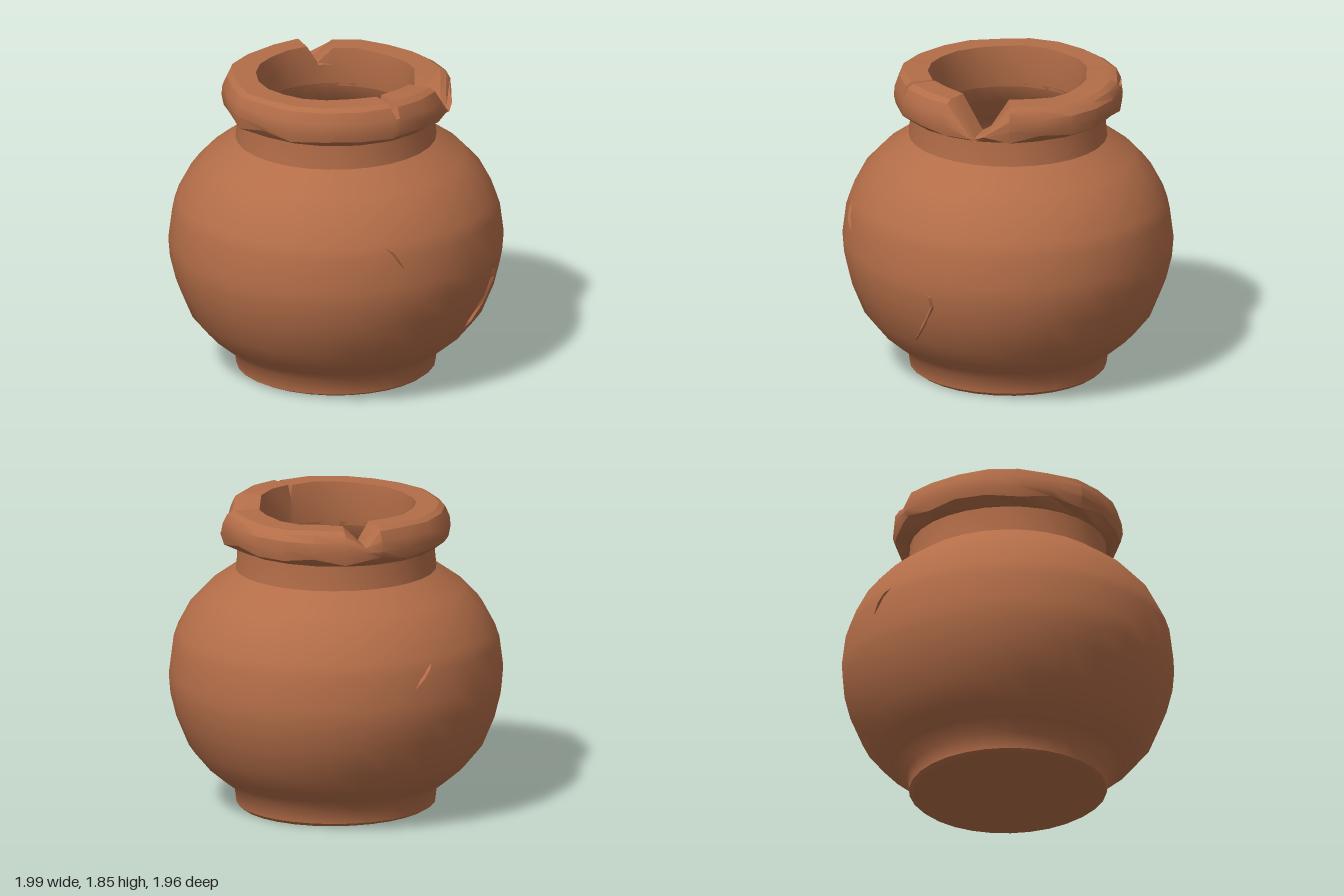
import * as THREE from 'three';
import { toCreasedNormals } from 'three/addons/utils/BufferGeometryUtils.js';

const DEG = Math.PI / 180;
const SIDES = 30;

// Outer belly profile, [radius, height] from the foot to the shoulder
const BELLY = [[0.595, 0.025], [0.607, 0.12], [0.69, 0.185], [0.78, 0.26], [0.88, 0.38], [0.955, 0.56],
  [0.99, 0.7], [1, 0.82], [0.977, 1], [0.95, 1.08], [0.875, 1.22], [0.77, 1.33], [0.6, 1.45]];

// Height of the broken lip at each angle (degrees from the front towards +x)
const LIP = [[0, 1.78], [2, 1.85], [18, 1.85], [34, 1.84], [50, 1.63], [56, 1.66], [69, 1.83], [85, 1.825],
  [102, 1.815], [118, 1.815], [134, 1.825], [150, 1.82], [161, 1.73], [169, 1.84], [185, 1.84], [202, 1.835],
  [219, 1.84], [236, 1.84], [253, 1.835], [270, 1.835], [287, 1.84], [304, 1.84], [321, 1.845],
  [340, 1.85], [358, 1.845], [360, 1.78]];

const toPoints = list => list.map(([r, y]) => new THREE.Vector2(r, y));

function bellyRadius(y) {
  for (let i = 1; i < BELLY.length; i++) {
    const [r0, y0] = BELLY[i - 1], [r1, y1] = BELLY[i];
    if (y <= y1) return r0 + (r1 - r0) * (y - y0) / (y1 - y0);
  }
  return 0.6;
}

// Thick rim: a lathe whose columns follow the broken lip heights
function rimGeometry() {
  const profile = [[0.57, 1.605], [0.61, 1.605], [0.665, 1.645], [0.678, 1.7], [0.672, 1.76],
    [0.645, 1.825], [0.61, 1.85], [0.475, 1.85], [0.465, 1.72], [0.48, 1.58]];
  const geo = new THREE.LatheGeometry(toPoints(profile), LIP.length - 1);
  const pos = geo.attributes.position;
  LIP.forEach(([deg, top], i) => {
    const a = deg * DEG;
    const uneven = 0.006 * Math.sin(a * 7) + 0.004 * Math.sin(a * 11);
    profile.forEach(([r, y], j) => {
      const bulge = j > 1 && j < 7 ? uneven + (deg > 50 && deg < 161 ? 0.01 : 0) : 0;
      const chip = j === 2 ? 0.02 * Math.sin(a * 9) : 0;
      pos.setXYZ(i * profile.length + j, (r + bulge) * Math.sin(a),
        Math.min(y + chip, top - (j === 5 ? 0.02 : 0)), (r + bulge) * Math.cos(a));
    });
  });
  return toCreasedNormals(geo, 0.5);
}

// Narrow gash following the belly: sunk edges with one raised lip, path is [angle, height, width]
function gashGeometry(path) {
  const verts = [], index = [];
  path.forEach(([deg, y, w], i) => {
    const lift = w > 0.005 ? 0.012 : -0.01;
    [[-w, -0.015], [w * 0.5, lift], [w, -0.02]].forEach(([side, out]) => {
      const r = bellyRadius(y) + out, a = deg * DEG + side;
      verts.push(r * Math.sin(a), y, r * Math.cos(a) * 0.98);
    });
    if (i) for (let k = 0; k < 2; k++) {
      const a = (i - 1) * 3 + k, b = a + 3;
      index.push(a, b, a + 1, a + 1, b, b + 1);
    }
  });
  const geo = new THREE.BufferGeometry();
  geo.setAttribute('position', new THREE.Float32BufferAttribute(verts, 3));
  geo.setIndex(index);
  return toCreasedNormals(geo, 0.3);
}

export function createModel() {
  const pot = new THREE.Group();
  pot.name = 'clayPot';
  const clay = new THREE.MeshStandardMaterial({ color: 0xb36d48 });
  clay.name = 'terracotta';
  const gashClay = clay.clone();
  gashClay.side = THREE.DoubleSide;

  const add = (name, geo, material = clay) => {
    const mesh = new THREE.Mesh(geo, material);
    mesh.name = name;
    pot.add(mesh);
    return mesh;
  };
  const lathe = list => new THREE.LatheGeometry(toPoints(list), SIDES);

  // Round belly with its foot, slightly shallower front to back
  add('belly', lathe(BELLY)).scale.z = 0.978;

  // Underside of the foot, slightly worn at the edge
  const base = lathe([[0, 0.008], [0.57, 0.008], [0.595, 0.025]]);
  const p = base.attributes.position;
  for (let i = 0; i < p.count; i++) {
    if (i % 3 < 2) p.setY(i, 0.008 - 0.008 * p.getX(i));
  }
  add('base', toCreasedNormals(base, 0.4)).scale.z = 0.978;

  // Straight neck between shoulder and rim
  add('neck', lathe([[0.6, 1.45], [0.592, 1.53], [0.59, 1.612]])).scale.z = 0.978;

  // Chipped rim
  add('rim', rimGeometry());

  // Hollow inside
  add('inside', lathe([[0.482, 1.6], [0.52, 1.47], [0.7, 1.3], [0.85, 1.1], [0.9, 0.82],
    [0.84, 0.5], [0.7, 0.28], [0.5, 0.18], [0, 0.17]])).scale.z = 0.978;

  // Gashes on the front left, front and back
  const gashes = [
    [[34.5, 0.79, 0.001], [39, 0.72, 0.02], [39.5, 0.66, 0.025], [35, 0.53, 0.03], [30, 0.42, 0.015], [26.5, 0.33, 0.001]],
    [[-15.5, 1.08, 0.001], [-12, 1.04, 0.02], [-9.5, 0.98, 0.015], [-6.5, 0.91, 0.001]],
    [[183, 1.06, 0.001], [180, 1.02, 0.02], [177.5, 0.97, 0.015], [174, 0.9, 0.001]],
  ];
  gashes.forEach((path, i) => add(`gash${i + 1}`, gashGeometry(path), gashClay));

  return pot;
}
